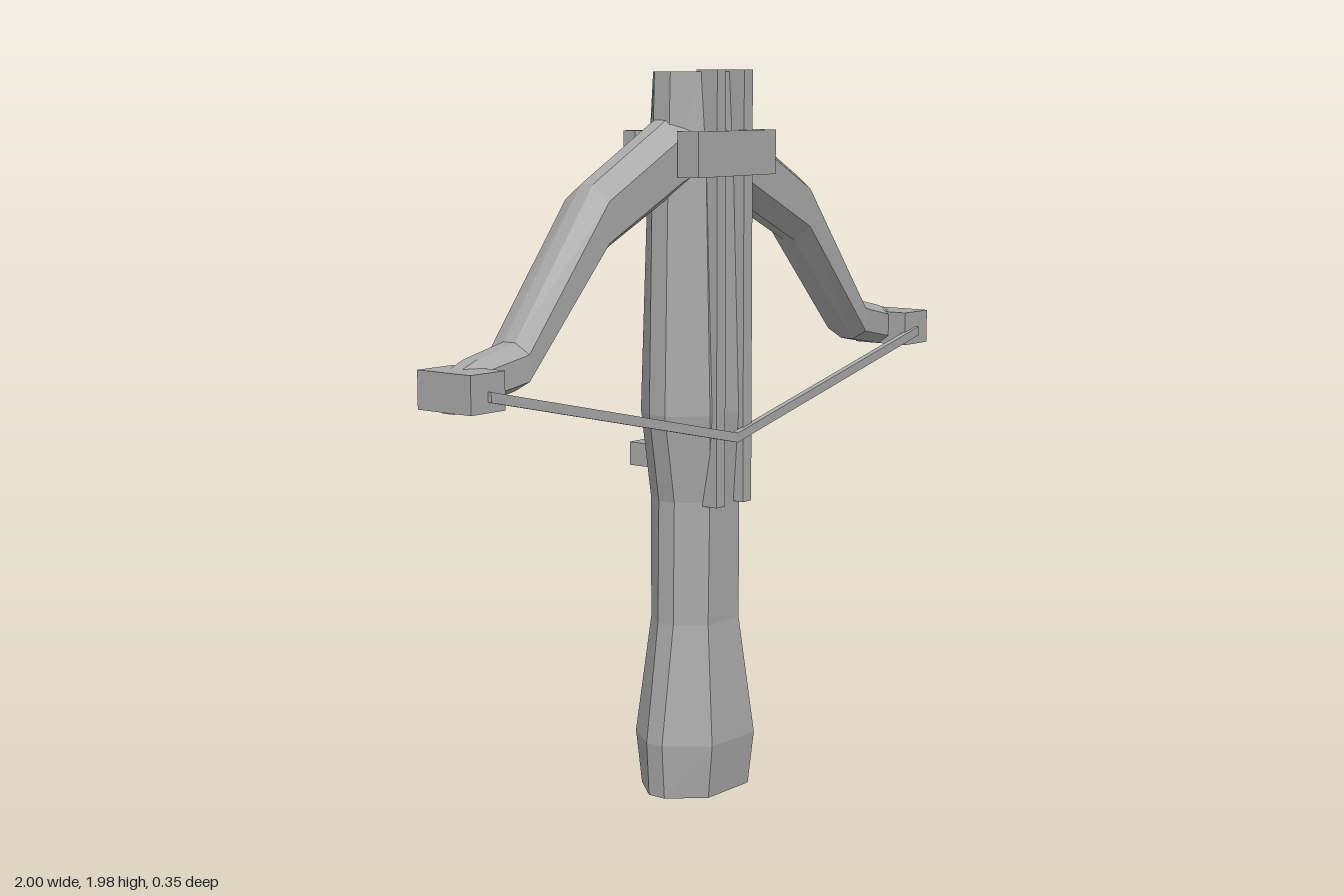
import * as THREE from 'three';

// Eight-sided outline: half sizes a, b and half lengths of the flats fa, fb
const octagon = (a, fa, b, fb) => [
  [a, -fb], [a, fb], [fa, b], [-fa, b], [-a, fb], [-a, -fb], [-fa, -b], [fa, -b],
];

// Joins cross-sections (lists of [x, y, z]) into a capped, faceted solid
function loft(rings) {
  const n = rings[0].length, index = [];
  rings.slice(1).forEach((_, r) => {
    for (let i = 0; i < n; i++) {
      const a = r * n + i, b = r * n + (i + 1) % n;
      index.push(a, b, b + n, a, b + n, a + n);
    }
  });
  const last = (rings.length - 1) * n;
  for (let i = 1; i < n - 1; i++) {
    index.push(0, i + 1, i, last, last + i, last + i + 1);
  }
  const geometry = new THREE.BufferGeometry();
  geometry.setAttribute('position', new THREE.Float32BufferAttribute(rings.flat(2), 3));
  geometry.setIndex(index);
  const flat = geometry.toNonIndexed();
  flat.computeVertexNormals();
  return flat;
}

// Mirrors a half list of stations [x, ...] into one running from -x to +x
const mirrored = (half) => [
  ...half.slice(1).reverse().map(([x, ...rest]) => [-x, ...rest]), ...half,
];

export function createModel() {
  const group = new THREE.Group();
  group.name = 'crossbow';
  const grey = new THREE.MeshStandardMaterial({ color: 0xa8a8a8, flatShading: true });
  grey.name = 'grey';

  const add = (name, geometry) => {
    const mesh = new THREE.Mesh(geometry, grey);
    mesh.name = name;
    group.add(mesh);
    return mesh;
  };
  const box = (name, x0, x1, y0, y1, z0, z1) =>
    add(name, new THREE.BoxGeometry(x1 - x0, y1 - y0, z1 - z0))
      .position.set((x0 + x1) / 2, (y0 + y1) / 2, (z0 + z1) / 2);

  // Stock: height, half width, half depth
  const stock = [
    [0, 0.17, 0.118], [0.15, 0.18, 0.135], [0.48, 0.13, 0.1], [0.82, 0.125, 0.103],
    [1.06, 0.165, 0.12], [1.7, 0.15, 0.1], [1.975, 0.14, 0.085],
  ];
  add('stock', loft(stock.map(([y, w, d]) =>
    octagon(d, 0.027, w, w * 0.53).map(([z, x]) => [x, y, z + 0.025])
  ).map((ring, i) => {
    // narrow side flats, wide front and back flats
    const [, w, d] = stock[i], y = stock[i][0];
    return octagon(d, 0.027, w, w * 0.53).map(([z, x]) => [x, y, z + 0.025]);
  })));

  // Bow limbs: x, top, bottom, half depth
  const limbs = mirrored([
    [0, 1.9, 1.69, 0.075], [0.14, 1.85, 1.64, 0.075], [0.44, 1.69, 1.5, 0.075],
    [0.74, 1.31, 1.19, 0.068], [0.88, 1.28, 1.165, 0.055], [0.96, 1.25, 1.155, 0.04],
  ]);
  add('bowLimbs', loft(limbs.map(([x, top, bottom, d]) => {
    const h = (top - bottom) / 2;
    return octagon(h, h * 0.56, d, 0.02).map(([y, z]) => [x, y + (top + bottom) / 2, z + 0.02]);
  })));

  // Clamp plates with bevelled inner corners, in front of and behind the limbs
  const clamp = (name, outer, shoulder, inner) => {
    const shape = new THREE.Shape([
      [-0.17, outer], [0.17, outer], [0.17, shoulder], [0.11, inner], [-0.11, inner], [-0.17, shoulder],
    ].map(([x, z]) => new THREE.Vector2(x, -z)));
    const geometry = new THREE.ExtrudeGeometry(shape, { depth: 0.12, bevelEnabled: false });
    geometry.rotateX(-Math.PI / 2);
    add(name, geometry).position.y = 1.7;
  };
  clamp('frontClamp', 0.17, 0.1, 0.05);
  clamp('backClamp', -0.085, -0.045, -0.01);

  // Bolt rails and limb tips on both sides
  for (const [side, s] of [['left', 1], ['right', -1]]) {
    const pair = (a, b) => (s > 0 ? [a, b] : [-b, -a]);
    box(side + 'Rail', ...pair(0.04, 0.078), 0.81, 1.98, 0.09, 0.16);
    box(side + 'LimbTip', ...pair(0.88, 1), 1.165, 1.262, -0.042, 0.135);
  }

  // Trigger
  box('trigger', -0.04, 0.04, 0.89, 0.955, -0.175, -0.06);

  // Bowstring, drawn to a point at the middle
  const string = mirrored([[0, 0.995, 0.164], [0.94, 1.204, 0.136]]);
  add('bowstring', loft(string.map(([x, y, z]) =>
    [[1, -1], [1, 1], [-1, 1], [-1, -1]].map(([v, w]) => [x, y + v * 0.013, z + w * 0.009]))));

  return group;
}
